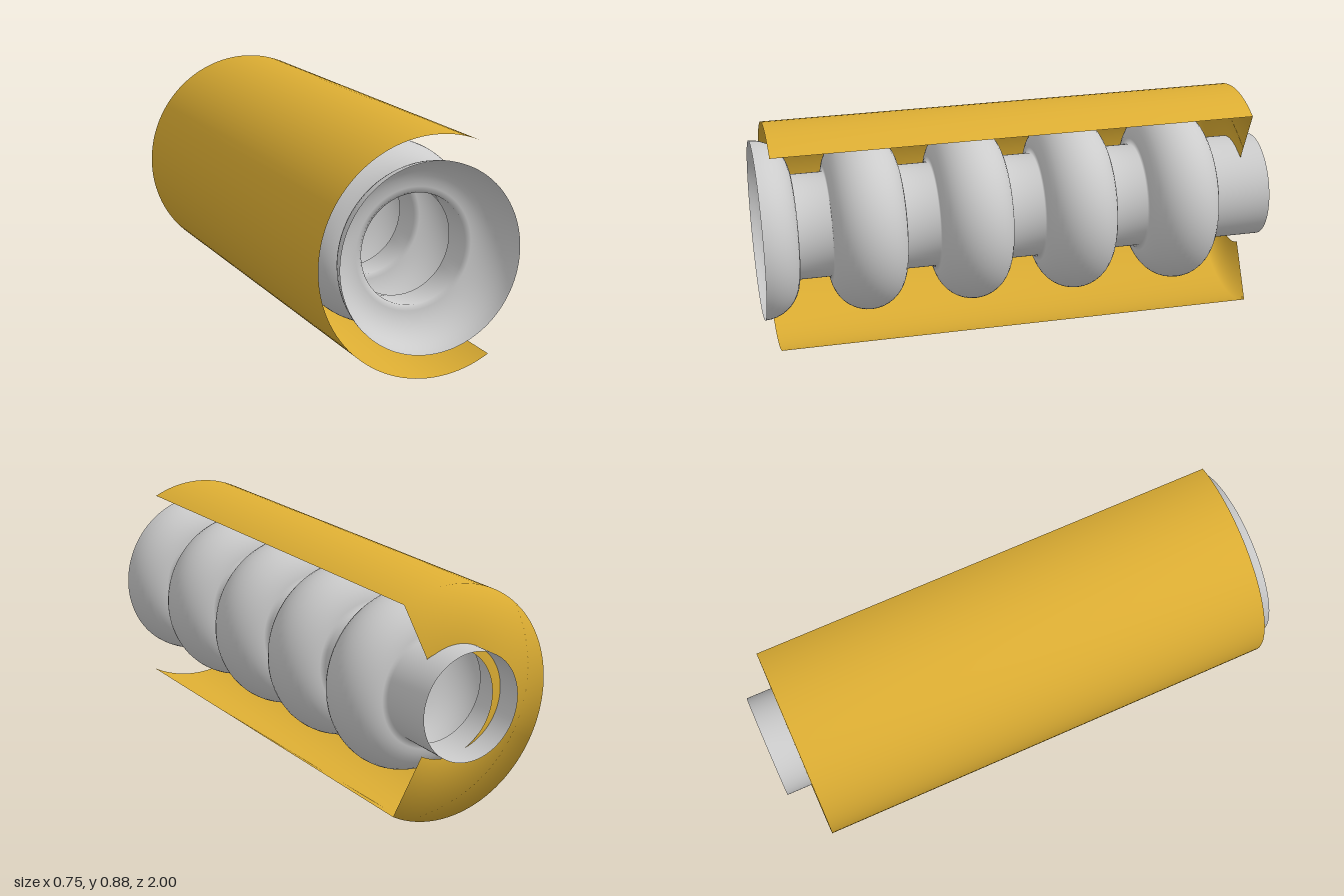
import * as THREE from 'three';

// Revolves a [radius, z] profile around a z-parallel axis
function revolve(name, profile, color, x, y, segments, start = 0, sweep = Math.PI * 2) {
  const points = profile.map(([r, z]) => new THREE.Vector2(r, z));
  const geometry = new THREE.LatheGeometry(points, segments, start, sweep);
  geometry.rotateX(Math.PI / 2);
  const material = new THREE.MeshStandardMaterial({ color, side: THREE.DoubleSide });
  const mesh = new THREE.Mesh(geometry, material);
  mesh.name = name;
  mesh.position.set(x, y, 0);
  return mesh;
}

export function createModel() {
  const group = new THREE.Group();
  group.name = 'bellowsInShell';

  // Bellows tube: straight neck at the back, four round ribs, half a rib at the open front
  const neck = 0.203, rib = 0.142, pitch = 0.41, steps = 20;
  const profile = [[neck, -1]];
  for (let i = 4; i >= 0; i--) {
    const centre = 1 - i * pitch;
    const last = i === 0 ? steps / 2 : steps;
    for (let k = 0; k <= last; k++) {
      const a = Math.PI * k / steps;
      profile.push([neck + rib * Math.sin(a), centre - rib * Math.cos(a)]);
    }
  }
  group.add(revolve('bellowsTube', profile, 0xcccccc, 0.028, 0.451, 96));

  // Cut-away shell: back plate with a hole, joined to an open-sided cylinder
  const deg = THREE.MathUtils.degToRad;
  const shell = [[0.203, -0.9], [0.438, -0.9], [0.438, 0.95]];
  group.add(revolve('outerShell', shell, 0xddae33, 0.063, 0.438, 72, deg(154.7), deg(235.6)));

  return group;
}
